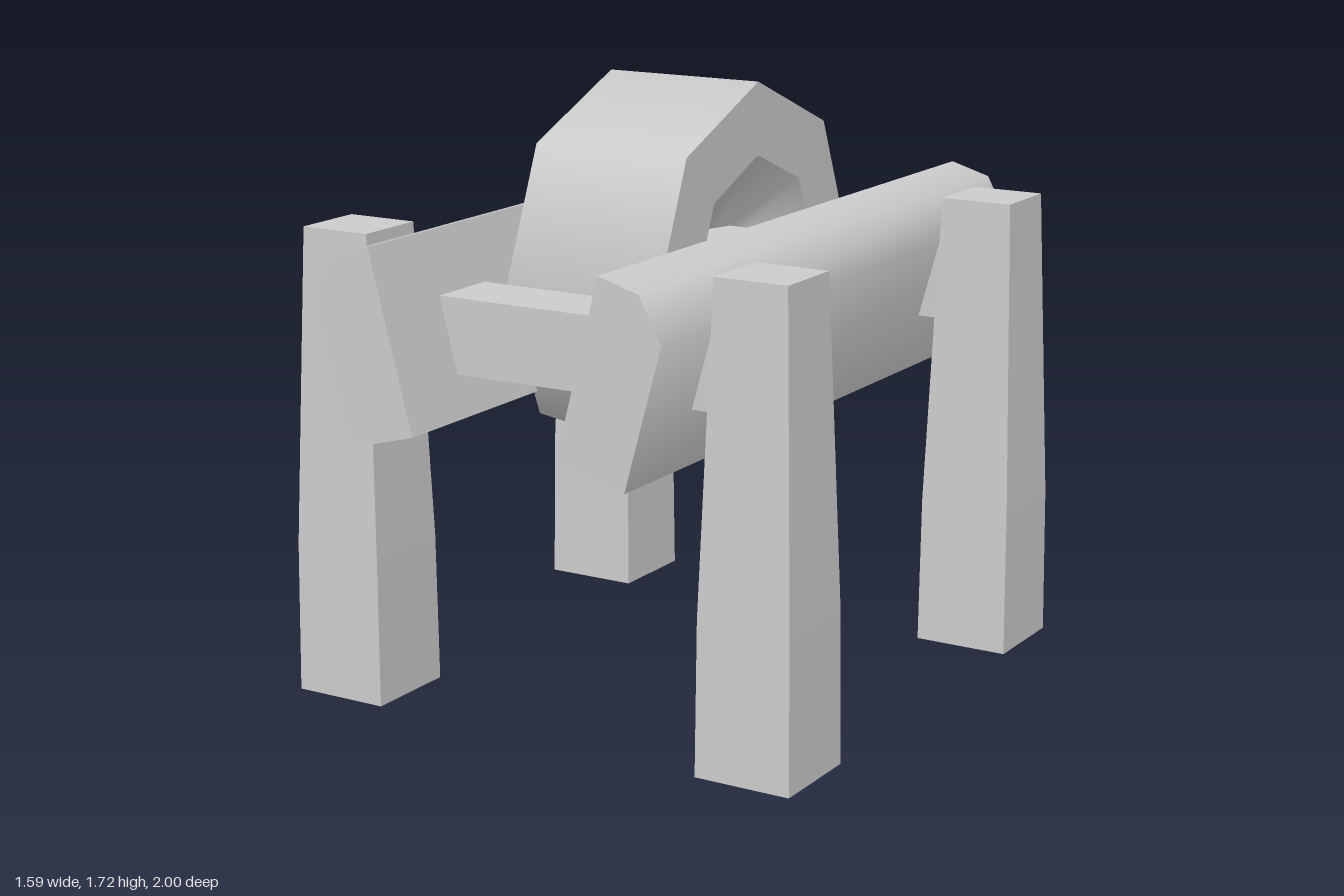
import * as THREE from 'three';
import { mergeGeometries, toCreasedNormals } from 'three/addons/utils/BufferGeometryUtils.js';

const smooth = new THREE.MeshStandardMaterial({ color: 0xcccccc });
const flat = new THREE.MeshStandardMaterial({ color: 0xcccccc, flatShading: true });

function add(parent, name, geometry, material, x = 0, y = 0, z = 0) {
  const mesh = new THREE.Mesh(geometry, material);
  mesh.name = name;
  mesh.position.set(x, y, z);
  parent.add(mesh);
  return mesh;
}

// Post with an almost straight foot that tapers towards the top
function legGeometry() {
  const levels = [[0, 0.141], [0.43, 0.137], [1.335, 0.107]]; // height, half width
  const geometry = new THREE.BoxGeometry(2, 2, 2, 1, 2, 1);
  const p = geometry.attributes.position;
  for (let i = 0; i < p.count; i++) {
    const [y, half] = levels[Math.round(p.getY(i)) + 1];
    p.setXYZ(i, p.getX(i) * half, y, p.getZ(i) * half);
  }
  return geometry;
}

// Tilted side rail with a rounded upper outer edge, side = 1 or -1
function railGeometry(side) {
  const section = [[0.355, 1.36], [0.475, 1.325], [0.54, 1.205], [0.43, 0.81], [0.225, 0.865]];
  const shape = new THREE.Shape(section.map(([x, y]) => new THREE.Vector2(side * x, y)));
  const geometry = new THREE.ExtrudeGeometry(shape, { depth: 2, bevelEnabled: false });
  geometry.translate(0, 0, -1);
  return toCreasedNormals(geometry, THREE.MathUtils.degToRad(55));
}

// Eight-sided wheel with dished sides; each band keeps its own normals
function wheelGeometry() {
  const profile = [[0.1, -0.05], [0.335, -0.24], [0.54, -0.24], [0.54, 0.24], [0.335, 0.24], [0.1, 0.05]]
    .map(([r, h]) => new THREE.Vector2(r, h));
  const bands = profile.slice(1).map((point, i) => new THREE.LatheGeometry([profile[i], point], 8));
  return mergeGeometries(bands).rotateZ(Math.PI / 2);
}

export function createModel() {
  const model = new THREE.Group();
  model.name = 'wheelFrame';

  // Legs and side rails
  const leg = legGeometry();
  for (const side of [1, -1]) {
    const label = side > 0 ? 'left' : 'right';
    add(model, label + 'Rail', railGeometry(side), smooth);
    add(model, label + 'FrontLeg', leg, flat, side * 0.652, 0, 0.65);
    add(model, label + 'BackLeg', leg, flat, side * 0.652, 0, -0.65);
  }

  // Cross bars joining the legs
  const bar = new THREE.BoxGeometry(1.2, 0.21, 0.21);
  add(model, 'frontCrossBar', bar, flat, 0, 1.085, 0.645);
  add(model, 'backCrossBar', bar, flat, 0, 1.085, -0.645);

  // Wheel on a square axle
  add(model, 'wheel', wheelGeometry(), smooth, 0, 1.175, 0);
  add(model, 'axle', new THREE.BoxGeometry(0.84, 0.21, 0.21), flat, 0, 1.175, 0);

  return model;
}
